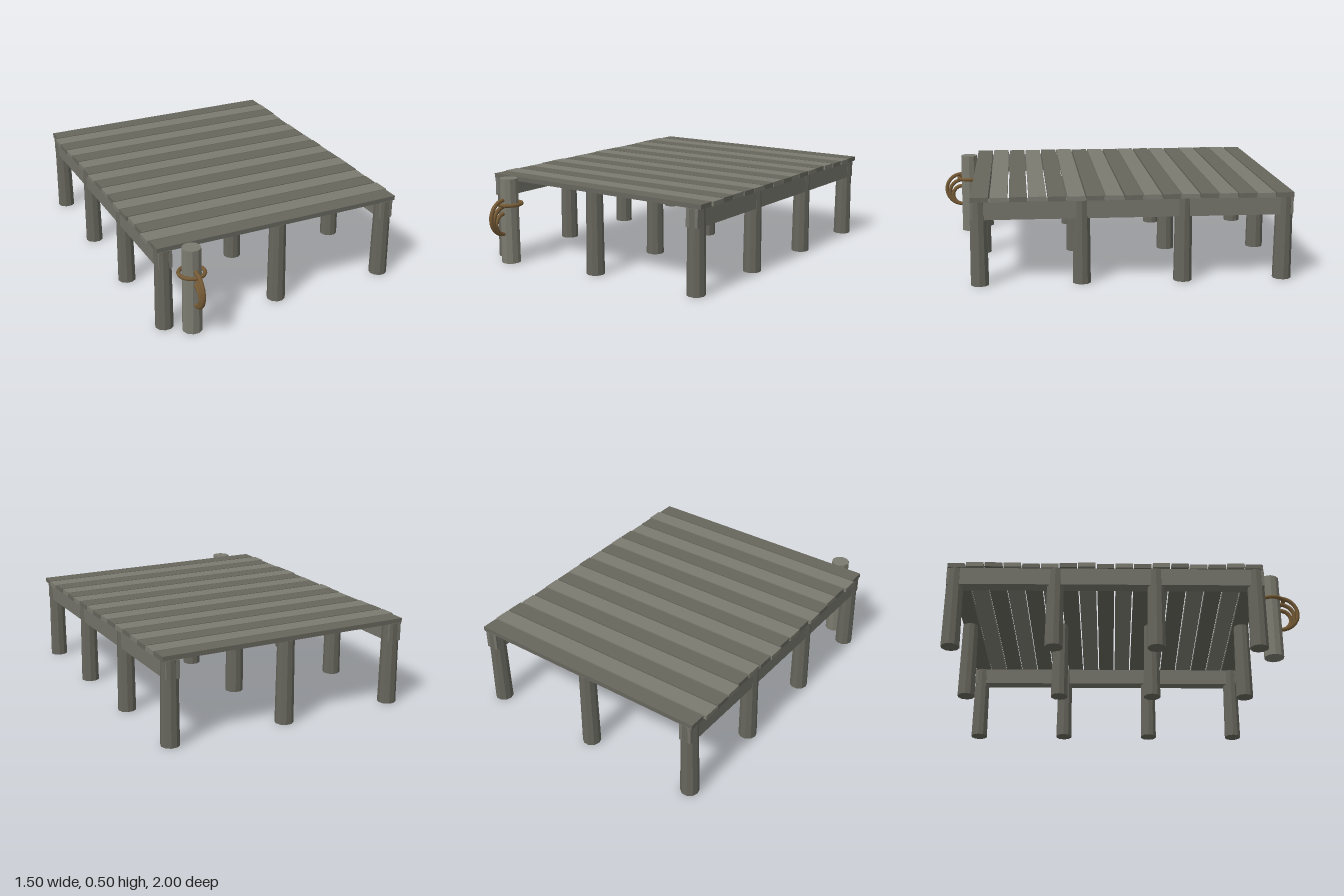
import * as THREE from 'three';

const material = (color) => new THREE.MeshStandardMaterial({ color, roughness: 0.9, flatShading: true });

export function createModel() {
  const model = new THREE.Group();
  const lightWood = material(0x7b7b70);
  const darkWood = material(0x66665d);
  const beamWood = material(0x73736a);
  const rope = new THREE.MeshStandardMaterial({ color: 0x755a35, roughness: 0.9 });

  const add = (parent, name, geometry, mat, x, y, z) => {
    const mesh = new THREE.Mesh(geometry, mat);
    mesh.name = name;
    mesh.position.set(x, y, z);
    parent.add(mesh);
    return mesh;
  };

  // Ten-sided round timber, slightly narrower at the top
  const pole = (top, bottom, height) =>
    new THREE.CylinderGeometry(top, bottom, height, 10).rotateY(Math.PI / 2);

  // Deck planks, with slightly uneven ends
  const deck = new THREE.Group();
  deck.name = 'deck';
  const leftEnds = [0.735, 0.75, 0.748, 0.745, 0.737, 0.737, 0.743, 0.749, 0.737,
    0.741, 0.737, 0.75, 0.746, 0.737, 0.737, 0.75, 0.737];
  const rightEnds = [0.739, 0.744, 0.743, 0.737, 0.732, 0.737, 0.736, 0.738, 0.743,
    0.74, 0.741, 0.744, 0.743, 0.737, 0.739, 0.747, 0.738];
  leftEnds.forEach((left, i) => {
    const right = rightEnds[i];
    add(deck, 'plank', new THREE.BoxGeometry(left + right, 0.026, 0.097),
      i % 2 ? lightWood : darkWood, (right - left) / 2, 0.487, -0.945 + i * 0.1047);
  });
  model.add(deck);

  // Three rows of four posts, with a long beam along each outer row
  const posts = new THREE.Group();
  posts.name = 'posts';
  for (const x of [-0.69, -0.003, 0.684]) {
    for (const z of [-0.952, -0.388, 0.176, 0.738]) {
      add(posts, 'post', pole(0.047, 0.052, 0.475), darkWood, x, 0.2375, z);
    }
    if (Math.abs(x) > 0.1) {
      add(model, 'sideBeam', new THREE.BoxGeometry(0.075, 0.103, 1.778),
        beamWood, x, 0.4235, -0.107);
    }
  }
  model.add(posts);

  // Mooring post standing in front of the deck
  const mooring = new THREE.Group();
  mooring.name = 'mooring';
  mooring.position.set(-0.567, 0, 0.836);
  add(mooring, 'mooringPost', pole(0.053, 0.056, 0.5), lightWood, 0, 0.25, 0);

  // Rope ring around the post
  const ring = add(mooring, 'ropeRing', new THREE.TorusGeometry(0.071, 0.011, 8, 24), rope, 0, 0.35, 0);
  ring.rotation.x = Math.PI / 2;

  // Nested hanging loops that share their lowest point, ends buried in the post
  for (const radius of [0.1, 0.08, 0.06]) {
    const loop = new THREE.TorusGeometry(radius, 0.012, 8, 16, Math.PI)
      .rotateZ(-Math.PI / 2).rotateY(-Math.PI / 2);
    add(mooring, 'ropeLoop', loop, rope, 0, 0.177 + radius, 0.05);
  }
  model.add(mooring);

  return model;
}
